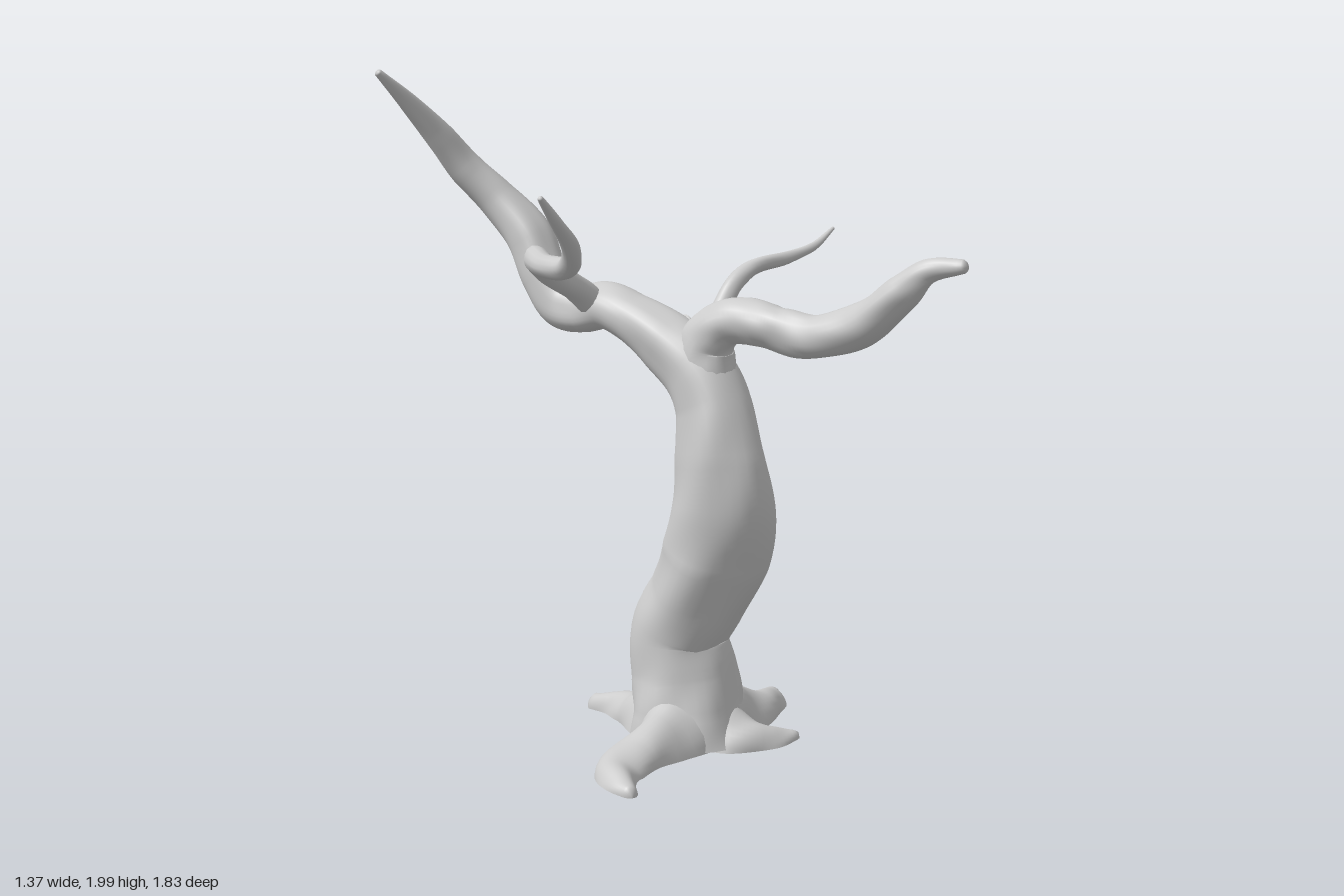
import * as THREE from 'three';

const material = new THREE.MeshStandardMaterial({ color: 0xcccccc, side: THREE.DoubleSide });

// Skin a list of rings (arrays of Vector3); closed rings wrap round
function loft(name, rings, closed) {
  const n = rings[0].length, pos = [], index = [];
  rings.forEach(ring => ring.forEach(p => pos.push(p.x, p.y, p.z)));
  for (let i = 0; i < rings.length - 1; i++) {
    for (let j = 0; j < (closed ? n : n - 1); j++) {
      const k = (j + 1) % n;
      const a = i * n + j, b = i * n + k, c = a + n, d = b + n;
      index.push(a, b, d, a, d, c);
    }
  }
  const geo = new THREE.BufferGeometry();
  geo.setAttribute('position', new THREE.Float32BufferAttribute(pos, 3));
  geo.setIndex(index);
  geo.computeVertexNormals();
  const mesh = new THREE.Mesh(geo, material);
  mesh.name = name;
  return mesh;
}

// Smooth path through the points, with the extra values interpolated alongside
function sampler(points) {
  const curve = new THREE.CatmullRomCurve3(points.map(p => new THREE.Vector3(p[0], p[1], p[2])));
  const last = points.length - 1;
  const value = (t, k) => {
    const i = Math.min(Math.floor(t * last), last - 1);
    return THREE.MathUtils.lerp(points[i][k], points[i + 1][k], t * last - i);
  };
  return { curve, value };
}

// Tapering round limb with spiralling bark ridges; points are [x, y, z, radius]
function limb(name, points, { sides = 20, steps = 8, ridge = 0.05, twist = 8, capStart = false } = {}) {
  const { curve, value } = sampler(points);
  const count = (points.length - 1) * steps;
  const rings = [];
  const normal = new THREE.Vector3(1, 0, 0.01);
  const ring = (centre, tangent, r, t, fade) => {
    normal.addScaledVector(tangent, -normal.dot(tangent)).normalize();
    const binormal = new THREE.Vector3().crossVectors(tangent, normal);
    return Array.from({ length: sides }, (_, j) => {
      const a = j / sides * Math.PI * 2;
      const bark = 1 + fade * ridge * (0.6 * Math.sin(3 * a + twist * t * 2)
        + 0.5 * Math.sin(5 * a - twist * t * 3 + 1) * Math.sin(t * 23)
        + 0.6 * Math.sin(2 * a + t * 37));
      return centre.clone()
        .addScaledVector(normal, Math.cos(a) * r * bark)
        .addScaledVector(binormal, Math.sin(a) * r * bark);
    });
  };
  for (let i = 0; i <= count; i++) {
    const t = i / count;
    const p = curve.getPoint(t), d = curve.getTangent(t), r = value(t, 3);
    if (i === 0 && capStart) rings.push(ring(p, d, 0, t, 0));
    rings.push(ring(p, d, r, t, 1));
    // Rounded tip
    if (i === count) {
      rings.push(ring(p.clone().addScaledVector(d, r * 0.4), d, r * 0.7, t, 0));
      rings.push(ring(p.clone().addScaledVector(d, r * 0.5), d, 0, t, 0));
    }
  }
  return loft(name, rings, true);
}

// Hollow arched root, open underneath; points are [x, bottom y, z, half width, height]
function root(name, points) {
  const { curve, value } = sampler(points);
  const count = (points.length - 1) * 7, sides = 16, rings = [];
  const arch = (p, d, w, h, t) => {
    const side = new THREE.Vector3(d.z, 0, -d.x).normalize();
    return Array.from({ length: sides + 1 }, (_, j) => {
      const a = j / sides * Math.PI;
      const bump = 1 + 0.05 * Math.sin(3 * a + t * 13);
      const q = p.clone().addScaledVector(side, Math.cos(a) * w * bump);
      q.y += Math.pow(Math.sin(a), 1.15) * h * bump;
      return q;
    });
  };
  for (let i = 0; i <= count; i++) {
    const t = i / count, p = curve.getPoint(t), d = curve.getTangent(t);
    const w = value(t, 3), h = value(t, 4);
    rings.push(arch(p, d, w, h, t));
    if (i === count) {
      const end = p.clone().addScaledVector(d, w * 0.5);
      rings.push(arch(end, d, w * 0.6, h * 0.7, t));
      rings.push(arch(end.addScaledVector(d, w * 0.2), d, 0, 0, t));
    }
  }
  return loft(name, rings, false);
}

export function createModel() {
  const tree = new THREE.Group();
  tree.name = 'tree';

  // Leaning trunk that bends over into the tall back branch
  tree.add(limb('trunkAndBackBranch', [
    [0.015, 0.03, 0.01, 0.19], [0.015, 0.12, 0.005, 0.166], [0.018, 0.22, -0.01, 0.153],
    [0.02, 0.34, -0.035, 0.146], [0.025, 0.46, 0.025, 0.15], [0.027, 0.6, 0.09, 0.158],
    [0.015, 0.75, 0.127, 0.148], [0.015, 0.9, 0.119, 0.135], [0.02, 1.05, 0.092, 0.113],
    [0.015, 1.15, 0.03, 0.1], [0.015, 1.22, -0.08, 0.092], [0.015, 1.275, -0.2, 0.078],
    [0.02, 1.305, -0.3, 0.072], [0.02, 1.285, -0.4, 0.068], [0.025, 1.295, -0.485, 0.07],
    [0.035, 1.38, -0.555, 0.072], [0.04, 1.49, -0.62, 0.07], [0.02, 1.6, -0.73, 0.06],
    [-0.03, 1.69, -0.81, 0.055], [-0.1, 1.79, -0.85, 0.044], [-0.2, 1.9, -0.885, 0.028],
    [-0.302, 1.99, -0.908, 0.012],
  ], { sides: 32, steps: 8, ridge: 0.06, twist: 10 }));

  // Thick branch reaching forward
  tree.add(limb('frontBranch', [
    [0.015, 1.12, 0.07, 0.09], [0.015, 1.23, 0.07, 0.08], [0.013, 1.295, 0.14, 0.068],
    [0.013, 1.305, 0.25, 0.065], [0.015, 1.29, 0.34, 0.064], [0.015, 1.285, 0.46, 0.062],
    [0.015, 1.335, 0.6, 0.062], [0.012, 1.43, 0.72, 0.05], [0.015, 1.495, 0.8, 0.035],
    [0.02, 1.515, 0.905, 0.019],
  ], { capStart: true }));

  // Thin twig on the left, dipping before it rises
  tree.add(limb('leftBranch', [
    [0.03, 1.27, -0.04, 0.035], [0.09, 1.23, -0.03, 0.034], [0.15, 1.225, -0.02, 0.033],
    [0.2, 1.285, -0.02, 0.031], [0.25, 1.36, -0.01, 0.028], [0.34, 1.41, 0, 0.024],
    [0.48, 1.43, 0.035, 0.019], [0.58, 1.455, 0.063, 0.013], [0.68, 1.503, 0.07, 0.006],
  ], { sides: 14, steps: 6, capStart: true }));

  // Winding branch on the right, growing from the back branch
  tree.add(limb('rightBranch', [
    [0, 1.31, -0.33, 0.045], [-0.08, 1.365, -0.34, 0.04], [-0.2, 1.43, -0.345, 0.04],
    [-0.31, 1.48, -0.3, 0.038], [-0.38, 1.472, -0.2, 0.034], [-0.425, 1.485, -0.09, 0.031],
    [-0.5, 1.55, -0.02, 0.026], [-0.6, 1.63, 0.012, 0.018], [-0.683, 1.702, 0.027, 0.008],
  ], { sides: 14, steps: 6, capStart: true }));

  // Spreading roots
  tree.add(root('rightRoot', [
    [-0.06, 0.035, 0.03, 0.13, 0.18], [-0.17, 0.035, 0.04, 0.1, 0.115],
    [-0.3, 0.035, 0.035, 0.088, 0.075], [-0.41, 0.03, 0.06, 0.07, 0.055],
    [-0.47, 0.03, 0.12, 0.045, 0.042], [-0.505, 0.028, 0.18, 0.022, 0.03],
  ]));
  tree.add(root('leftRoot', [
    [0.08, 0.035, 0.05, 0.13, 0.18], [0.18, 0.035, 0.07, 0.09, 0.115],
    [0.28, 0.04, 0.07, 0.072, 0.075], [0.37, 0.04, 0.05, 0.058, 0.05],
    [0.45, 0.04, 0.005, 0.03, 0.03],
  ]));
  tree.add(root('backRoot', [
    [0.03, 0.03, -0.04, 0.15, 0.18], [0.05, 0.025, -0.15, 0.11, 0.12],
    [0.08, 0.02, -0.25, 0.07, 0.08], [0.1, 0.015, -0.34, 0.045, 0.06],
    [0.108, 0.01, -0.43, 0.03, 0.045],
  ]));
  tree.add(root('frontRoot', [
    [0.02, 0.03, 0.07, 0.12, 0.15], [0.03, 0.03, 0.17, 0.09, 0.1],
    [0.07, 0.035, 0.25, 0.055, 0.055], [0.14, 0.045, 0.3, 0.022, 0.025],
  ]));

  return tree;
}
